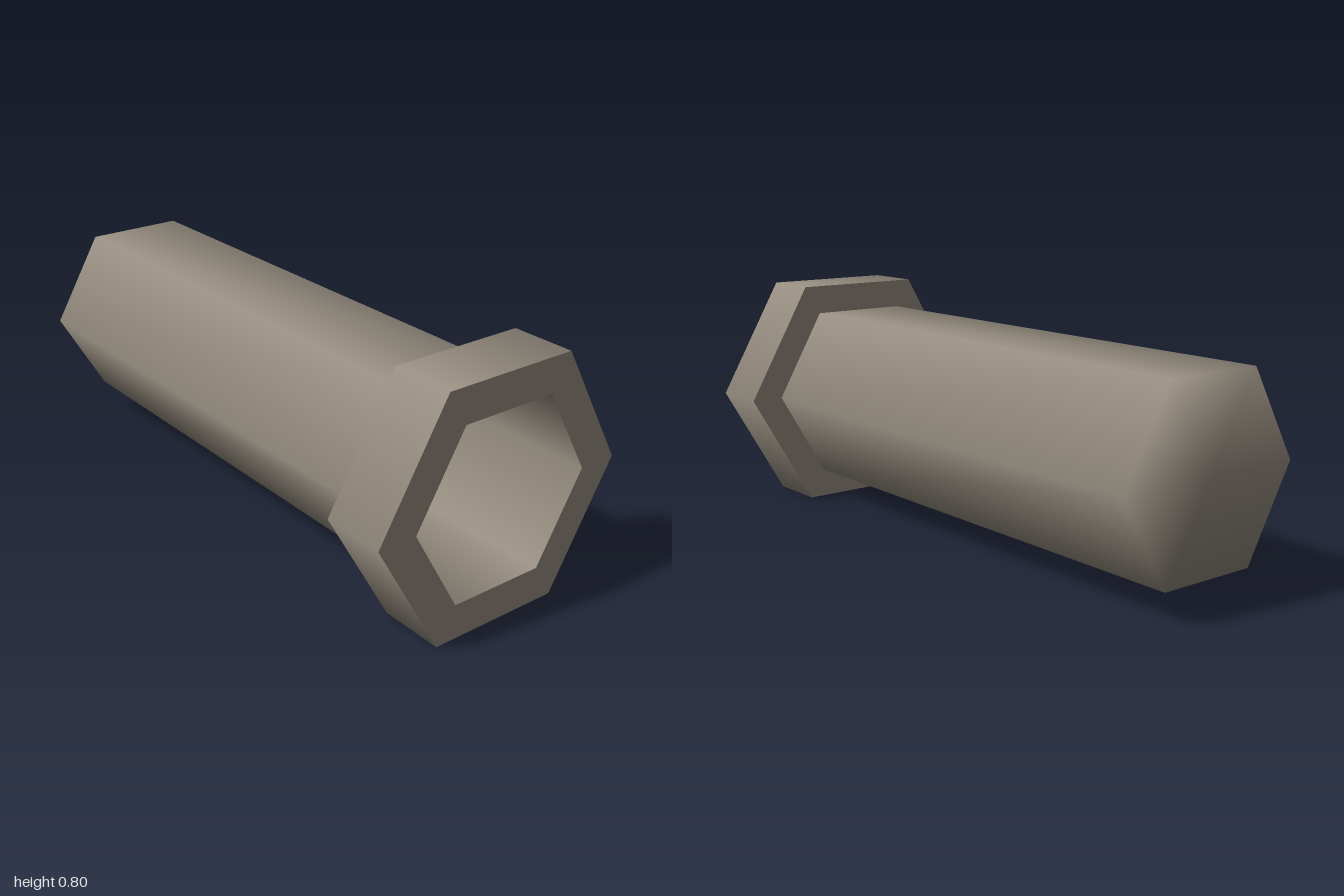
import * as THREE from 'three';

export function createModel() {
  const group = new THREE.Group();
  const metal = new THREE.MeshStandardMaterial({ color: 0x968d80 });
  const CENTRE_Y = 0.4;

  // Six-sided lathe lying along x; profile pairs are [radius, x]
  function hexLathe(name, profile) {
    const points = profile.map(([r, x]) => new THREE.Vector2(r, x));
    const geometry = new THREE.LatheGeometry(points, 6);
    geometry.rotateZ(-Math.PI / 2);
    const mesh = new THREE.Mesh(geometry, metal);
    mesh.name = name;
    mesh.position.y = CENTRE_Y;
    group.add(mesh);
  }

  const tube = 0.346, flange = 0.462, bore = 0.329, shoulder = 0.785;

  // Closed sleeve, shaded softly around its blind end
  hexLathe('sleeve', [[0, -1], [tube, -1], [tube, shoulder]]);

  // Flange: separate bands keep its rims sharp
  hexLathe('flangeBack', [[tube, shoulder], [flange, shoulder]]);
  hexLathe('flangeSide', [[flange, shoulder], [flange, 1]]);
  hexLathe('flangeFront', [[flange, 1], [bore, 1]]);

  // Blind bore, widening slightly towards its floor
  hexLathe('bore', [[bore, 1], [0.338, -0.99], [0, -0.99]]);

  return group;
}
